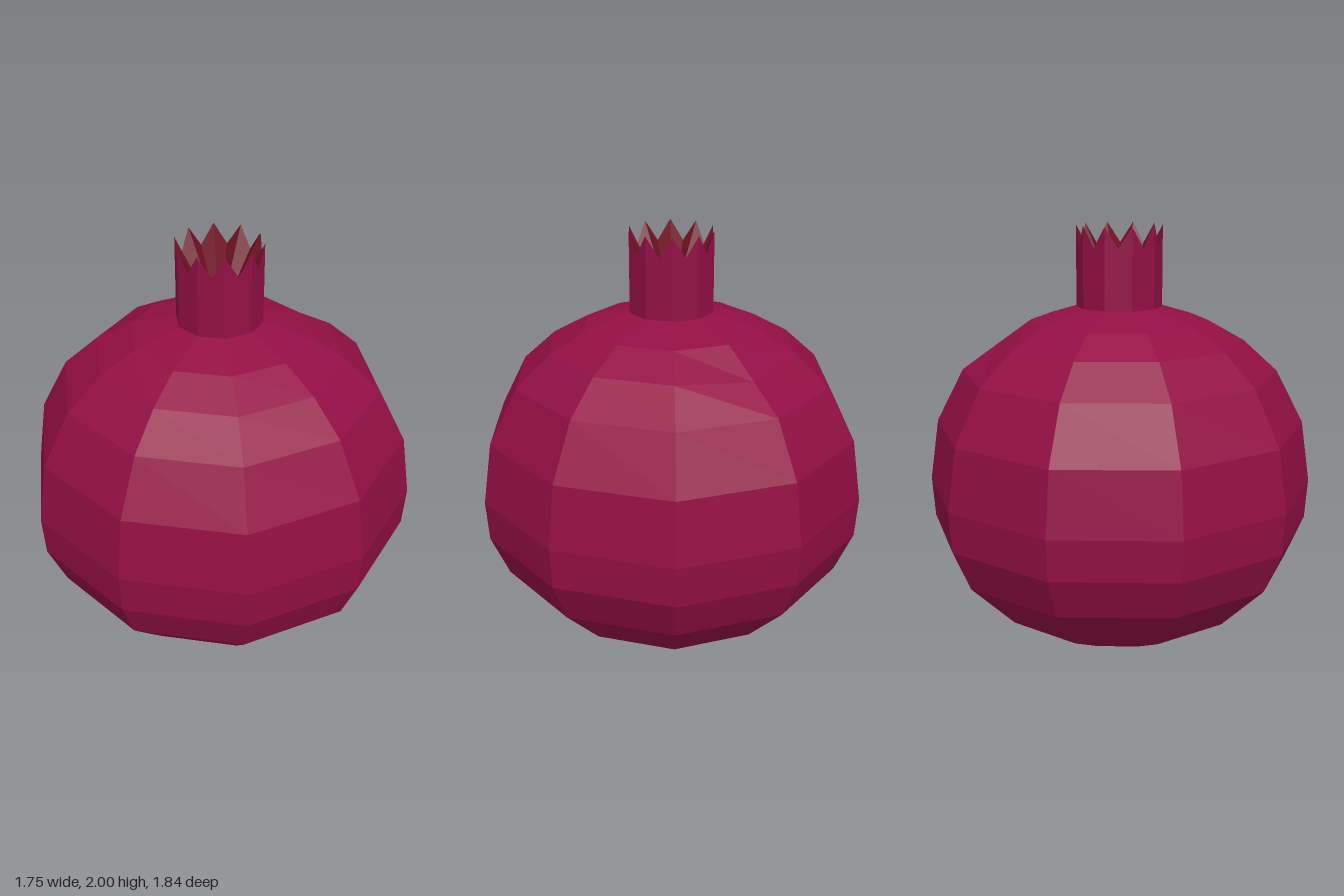
import * as THREE from 'three';

const SIDES = 10;
const SKIN = 0x930f45, FLESH = 0x701022;
const CROWN_R = 0.2, CROWN_BASE = 1.62, TIP_Y = 2, NOTCH_Y = 1.905;

function makeMesh(name, geometry, color) {
  const material = new THREE.MeshStandardMaterial({ color, flatShading: true, side: THREE.DoubleSide });
  const mesh = new THREE.Mesh(geometry, material);
  mesh.name = name;
  return mesh;
}

function fromTriangles(points) {
  const geometry = new THREE.BufferGeometry().setFromPoints(points);
  geometry.computeVertexNormals();
  return geometry;
}

// Ten-sided fruit body, profile as [radius, height] from the base up
function fruitBody() {
  const profile = [
    [0, 0.005], [0.17, 0.005], [0.23, 0.01], [0.31, 0.03], [0.6, 0.175], [0.82, 0.395], [0.905, 0.59],
    [0.918, 0.78], [0.875, 1.07], [0.745, 1.32], [0.585, 1.465], [0.415, 1.56], [CROWN_R, 1.625],
  ].map(([r, y]) => new THREE.Vector2(r, y));
  const geometry = new THREE.LatheGeometry(profile, SIDES);
  // Slight dent in the back shoulder
  const pos = geometry.attributes.position;
  for (let i = 0; i < pos.count; i++) {
    if (Math.abs(pos.getY(i) - 1.465) < 0.01 && pos.getZ(i) < -0.57) pos.setY(i, 1.437);
  }
  geometry.computeVertexNormals();
  return makeMesh('fruitBody', geometry, SKIN);
}

// Crown: a tip over each corner and a notch in the middle of each side
function crown() {
  const corner = (i, y) => {
    const a = (i / SIDES) * Math.PI * 2;
    return new THREE.Vector3(CROWN_R * Math.sin(a), y, CROWN_R * Math.cos(a));
  };
  const rim = (k, y) => k % 2
    ? corner((k - 1) / 2, y).lerp(corner((k + 1) / 2, y), 0.5)
    : corner(k / 2, y);
  const topY = (k) => (k % 2 ? NOTCH_Y : TIP_Y);
  const centre = new THREE.Vector3(0, CROWN_BASE, 0);

  const outer = [], inner = [];
  for (let k = 0; k < SIDES * 2; k++) {
    const a = rim(k, CROWN_BASE), b = rim(k + 1, CROWN_BASE);
    const c = rim(k + 1, topY(k + 1)), d = rim(k, topY(k));
    outer.push(a, b, c, a, c, d);
    inner.push(d, c, centre);
  }
  const group = new THREE.Group();
  group.name = 'crown';
  group.add(makeMesh('crownWall', fromTriangles(outer), SKIN));
  group.add(makeMesh('crownInside', fromTriangles(inner), FLESH));
  return group;
}

export function createModel() {
  const model = new THREE.Group();
  model.name = 'pomegranate';
  model.add(fruitBody(), crown());
  return model;
}
